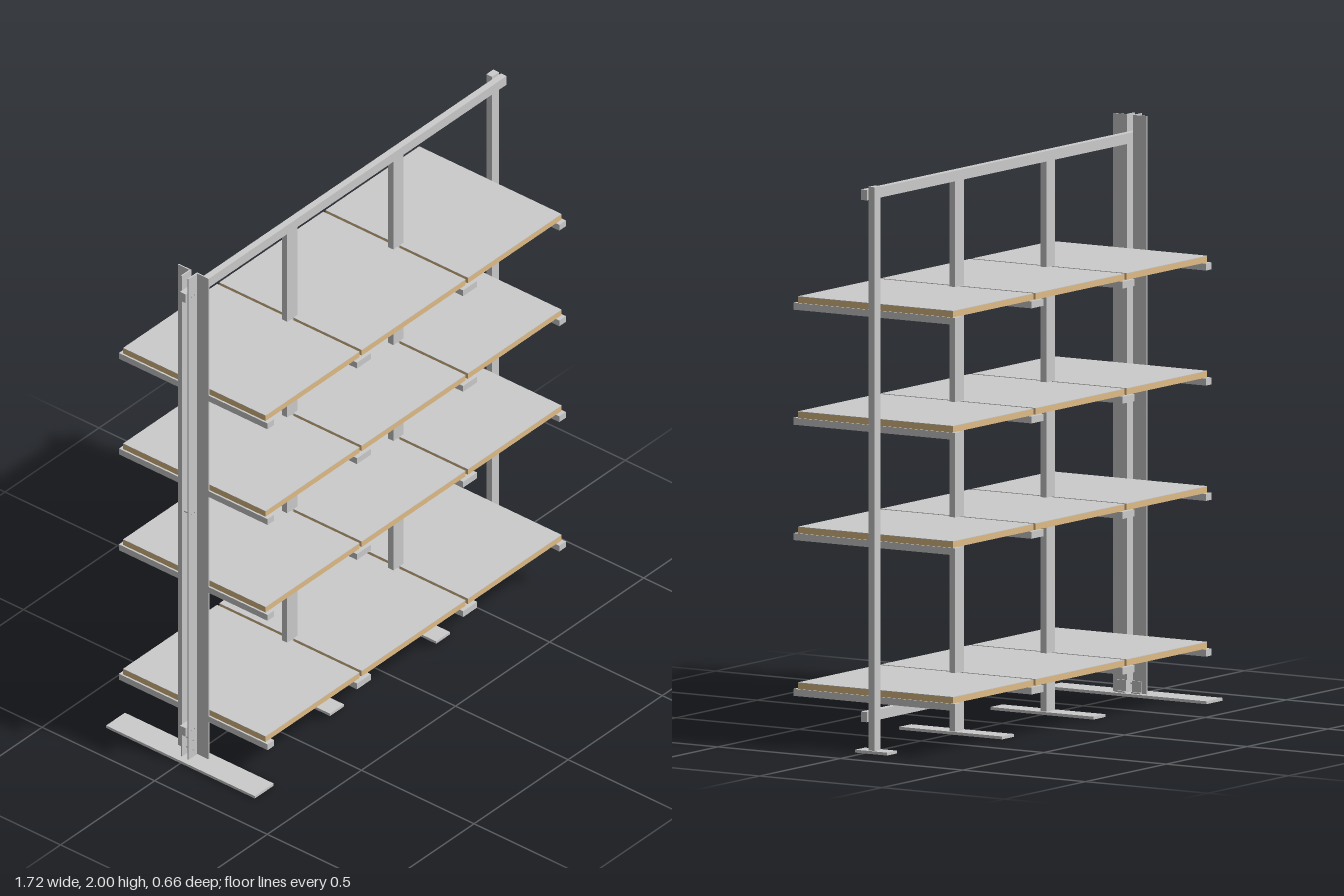
import * as THREE from 'three';

const steel = new THREE.MeshStandardMaterial({ color: 0xcccccc });
const wood = new THREE.MeshStandardMaterial({ color: 0xe0bc85 });

// Box given by its limits on each axis
function slab(parent, name, [x0, x1], [y0, y1], [z0, z1], material = steel) {
  const mesh = new THREE.Mesh(new THREE.BoxGeometry(x1 - x0, y1 - y0, z1 - z0), material);
  mesh.position.set((x0 + x1) / 2, (y0 + y1) / 2, (z0 + z1) / 2);
  mesh.name = name;
  parent.add(mesh);
  return mesh;
}

// L-shaped upright: web beside the rails, flange turned outward in z
function angleUpright(side) {
  const t = 0.005, near = 0.0125, far = 0.068;
  const corners = [
    [-0.84, near], [-0.79, near], [-0.79, far],
    [-0.79 - t, far], [-0.79 - t, near + t], [-0.84, near + t],
  ];
  const shape = new THREE.Shape(corners.map(([x, z]) => new THREE.Vector2(x, -z * side)));
  const geometry = new THREE.ExtrudeGeometry(shape, { depth: 1.99, bevelEnabled: false });
  geometry.rotateX(-Math.PI / 2);
  const mesh = new THREE.Mesh(geometry, steel);
  mesh.position.y = 0.01;
  mesh.name = side > 0 ? 'frontAngleUpright' : 'backAngleUpright';
  return mesh;
}

export function createModel() {
  const model = new THREE.Group();
  model.name = 'shelvingRack';
  const midX = [-0.283, 0.281];

  // Long rails at top and bottom
  slab(model, 'topRail', [-0.85, 0.855], [1.904, 1.94], [-0.0125, 0.0125]);
  slab(model, 'bottomRail', [-0.85, 0.855], [0.108, 0.143], [-0.0125, 0.0125]);

  // Main post: two angles clamping the rails, on a long foot plate
  const mainPost = new THREE.Group();
  mainPost.name = 'mainPost';
  model.add(mainPost);
  slab(mainPost, 'mainFootPlate', [-0.863, -0.763], [0, 0.01], [-0.33, 0.33]);
  for (const side of [1, -1]) {
    mainPost.add(angleUpright(side));
    // Small angle clip at the foot
    const z = [0.0125, 0.05].map((v) => v * side).sort((a, b) => a - b);
    slab(mainPost, 'footClip', [-0.79, -0.785], [0.01, 0.053], z);
    slab(mainPost, 'footClipBase', [-0.79, -0.777], [0.01, 0.015], z);
  }

  // Bolts through the webs
  const boltGeometry = new THREE.CylinderGeometry(0.004, 0.004, 0.041, 8).rotateX(Math.PI / 2);
  const bolts = [
    [-0.825, 1.92], [-0.807, 1.92], [-0.825, 1.02], [-0.807, 1.02],
    [-0.825, 0.125], [-0.807, 0.125], [-0.815, 0.08], [-0.815, 0.04],
  ];
  for (const [x, y] of bolts) {
    const bolt = new THREE.Mesh(boltGeometry, steel);
    bolt.position.set(x, y, 0);
    bolt.name = 'bolt';
    mainPost.add(bolt);
  }

  // Slim end post behind the rails
  slab(model, 'endPost', [0.808, 0.845], [0.01, 1.95], [-0.038, -0.0125]);
  slab(model, 'endFootPlate', [0.795, 0.855], [0, 0.01], [-0.095, 0.035]);

  // Middle posts with their foot plates
  for (const x of midX) {
    slab(model, 'middlePost', [x - 0.027, x + 0.027], [0.01, 1.904], [-0.012, 0.012]);
    slab(model, 'middleFootPlate', [x - 0.037, x + 0.037], [0, 0.01], [-0.21, 0.21]);
  }

  // Shelf levels: cross arms, wooden panels and their thin top sheets
  const armSpans = [
    [-0.795, -0.76], ...midX.map((x) => [x - 0.037, x + 0.037]), [0.755, 0.79],
  ];
  const gap = 0.006;
  const panelSpans = [
    [-0.788, midX[0] - gap], [midX[0] + gap, midX[1] - gap], [midX[1] + gap, 0.785],
  ];
  for (const y of [0.188, 0.724, 1.121, 1.517]) {
    const level = new THREE.Group();
    level.name = 'shelfLevel';
    model.add(level);
    for (const span of armSpans) slab(level, 'crossArm', span, [y - 0.024, y], [-0.33, 0.33]);
    for (const span of panelSpans) {
      slab(level, 'shelfPanel', span, [y, y + 0.021], [-0.317, 0.315], wood);
      slab(level, 'shelfTopSheet', span, [y + 0.021, y + 0.023], [-0.317, 0.315]);
    }
  }
  return model;
}
